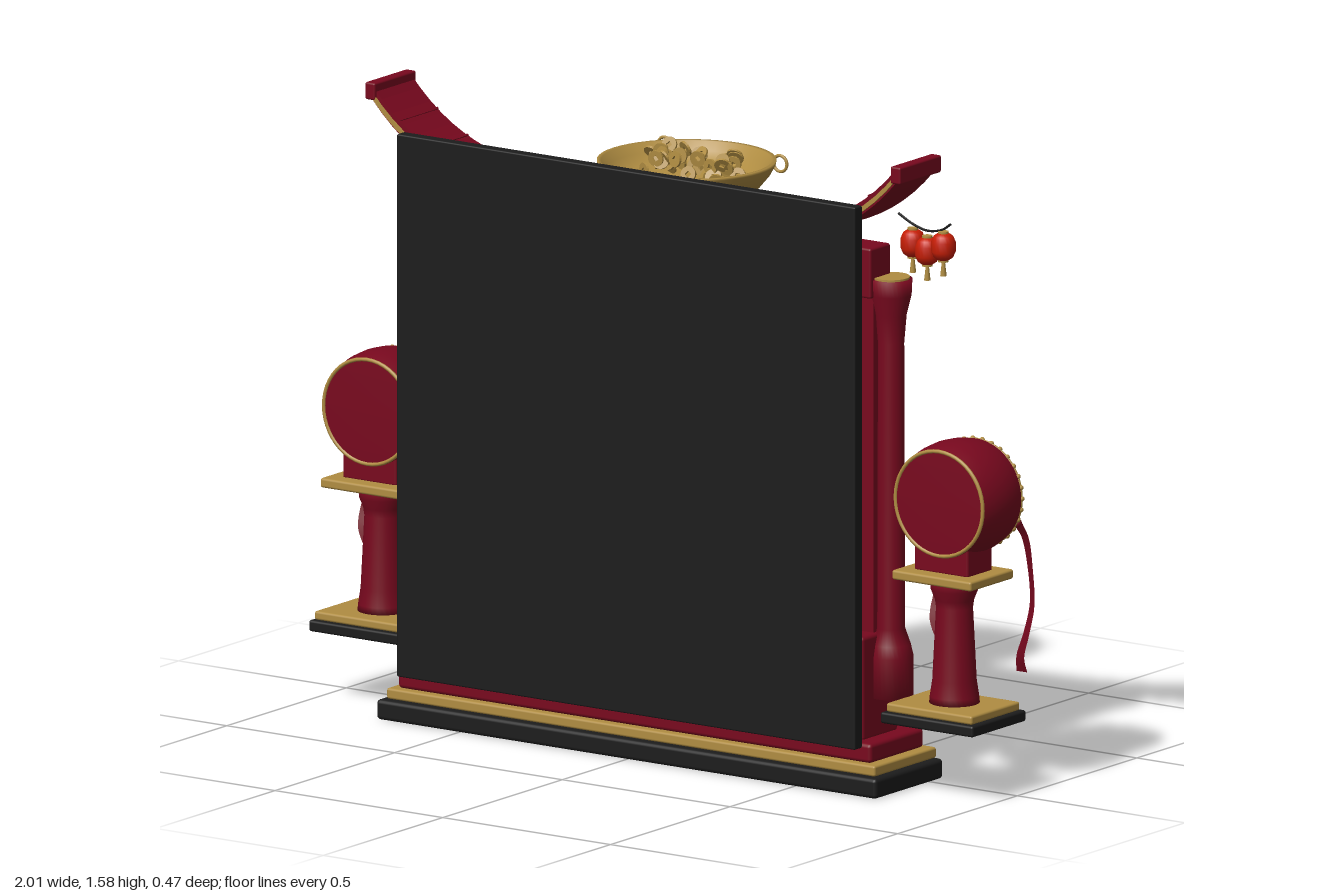
import * as THREE from 'three';
import { RoundedBoxGeometry } from 'three/addons/geometries/RoundedBoxGeometry.js';

const mat = (name, color) => Object.assign(new THREE.MeshStandardMaterial({ color }), { name });

export function createModel() {
  const red = mat('crimson lacquer', 0x78081e);
  const ribbonRed = mat('ribbon crimson', 0x78081e);
  ribbonRed.side = THREE.DoubleSide;
  const black = mat('charcoal', 0x1c1c1c);
  const gold = mat('gold', 0xb08d42);
  const darkGold = mat('dark gold', 0x806428);
  const cream = mat('drum skin', 0xc4a373);
  const green = mat('jade', 0x0f7a5c);
  const purple = mat('violet', 0x5f2088);
  const lanternRed = mat('lantern red', 0xc81e05);

  const root = new THREE.Group();
  const add = (name, geo, m, x = 0, y = 0, z = 0, parent = root) => {
    const mesh = new THREE.Mesh(geo, m);
    mesh.name = name;
    mesh.position.set(x, y, z);
    parent.add(mesh);
    return mesh;
  };
  // box given by its limits
  const box = (name, m, x0, x1, y0, y1, z0, z1, r = 0) => {
    const s = [x1 - x0, y1 - y0, z1 - z0];
    const geo = r ? new RoundedBoxGeometry(...s, 2, r) : new THREE.BoxGeometry(...s);
    return add(name, geo, m, (x0 + x1) / 2, (y0 + y1) / 2, (z0 + z1) / 2);
  };
  const rect = (P, x0, x1, y0, y1) => {
    const p = new P();
    p.moveTo(x0, y0).lineTo(x1, y0).lineTo(x1, y1).lineTo(x0, y1).closePath();
    return p;
  };
  // rectangular frame: outer limits, border width, depth range
  const frame = (name, m, x0, x1, y0, y1, w, z0, z1) => {
    const s = rect(THREE.Shape, x0, x1, y0, y1);
    s.holes.push(rect(THREE.Path, x0 + w, x1 - w, y0 + w, y1 - w));
    return add(name, new THREE.ExtrudeGeometry(s, { depth: z1 - z0, bevelEnabled: false }), m, 0, 0, z0);
  };
  const lathe = (pts, seg = 32) => new THREE.LatheGeometry(pts.map(p => new THREE.Vector2(...p)), seg);

  // stepped base and plain back board
  box('plinth', black, -0.745, 0.745, 0, 0.05, -0.05, 0.235, 0.01);
  box('plinthTrim', gold, -0.728, 0.728, 0.05, 0.077, -0.045, 0.215, 0.006);
  box('plinthStep', red, -0.705, 0.705, 0.077, 0.125, -0.025, 0.2, 0.01);
  box('backBoard', black, -0.683, 0.683, 0.115, 1.467, 0.203, 0.235, 0.004);

  // wall with screen opening and deeper lower cabinet
  const wall = rect(THREE.Shape, -0.65, 0.65, 0.12, 1.23);
  wall.holes.push(rect(THREE.Path, -0.55, 0.55, 0.42, 1.09));
  add('wall', new THREE.ExtrudeGeometry(wall, { depth: 0.075, bevelEnabled: false }), red, 0, 0, 0.035);
  box('lowerCabinet', red, -0.66, 0.66, 0.12, 0.38, 0.02, 0.17, 0.01);
  box('screen', black, -0.55, 0.55, 0.42, 1.09, 0.085, 0.1);

  // gilded screen frame
  frame('screenFrame', gold, -0.605, 0.605, 0.375, 1.195, 0.06, 0.016, 0.037);
  frame('outerRim', gold, -0.61, 0.61, 0.37, 1.2, 0.016, 0, 0.02);
  frame('outerRimShadowLine', darkGold, -0.612, 0.612, 0.368, 1.202, 0.016, 0.02, 0.037);
  frame('innerRim', gold, -0.564, 0.564, 0.408, 1.11, 0.018, 0, 0.036);

  // cloud ornaments: scalloped top, flat bottom
  const cloudShape = new THREE.Shape();
  cloudShape.moveTo(-0.055, -0.022).lineTo(0.055, -0.022);
  cloudShape.absarc(0.042, -0.006, 0.018, -0.9, 1.8);
  cloudShape.absarc(0.012, 0.012, 0.021, -0.1, 2.5);
  cloudShape.absarc(-0.02, 0.006, 0.017, 0.9, 2.9);
  cloudShape.absarc(-0.044, -0.008, 0.016, 1.2, 4.2);
  const cloudGeo = new THREE.ExtrudeGeometry(cloudShape, {
    depth: 0.014, bevelEnabled: true, bevelSize: 0.003, bevelThickness: 0.003, bevelSegments: 1, curveSegments: 6 });
  const cloud = (x, y, turn = 0, z = -0.017) => { add('cloud', cloudGeo, gold, x, y, z).rotation.z = turn; };
  for (let i = 0; i < 6; i++) {
    const x = -0.5 + i * 0.2;
    cloud(x, 1.172);
    cloud(x, 0.405);
  }
  for (const s of [-1, 1]) {
    for (const y of [0.53, 0.69, 0.85, 1.02]) cloud(s * 0.592, y, s * Math.PI / 2);
    cloud(s * 0.53, 0.285, 0, 0.002);
    for (const [x, y] of [[0.6, 0.15], [0.56, 0.17], [0.61, 0.335], [0.46, 0.145]])
      box('lozenge', gold, s * x - 0.03, s * x + 0.03, y - 0.008, y + 0.008, 0.008, 0.022, 0.005);
  }

  // lower inset panel
  box('lowerPanel', black, -0.4, 0.4, 0.165, 0.305, 0.012, 0.021);
  frame('lowerPanelFrame', gold, -0.415, 0.415, 0.15, 0.32, 0.02, -0.002, 0.021);

  // lintel with four coloured panels
  box('lintel', red, -0.655, 0.655, 1.215, 1.34, 0.045, 0.13, 0.006);
  [red, purple, purple, green].forEach((m, i) => {
    const x = -0.48 + i * 0.32;
    box('lintelPanel', m, x - 0.14, x + 0.14, 1.228, 1.317, 0.037, 0.046);
    frame('lintelPanelFrame', gold, x - 0.152, x + 0.152, 1.218, 1.327, 0.013, 0.028, 0.046);
  });

  // upswept roof
  const roofY = x => 1.341 + 0.198 * Math.pow(Math.abs(x) / 0.785, 4.6);
  const band = (lo, hi) => {
    const s = new THREE.Shape(), n = 48, pts = [];
    for (let i = 0; i <= n; i++) pts.push(-0.785 + 1.57 * i / n);
    pts.forEach((x, i) => i ? s.lineTo(x, roofY(x) + lo) : s.moveTo(x, roofY(x) + lo));
    pts.reverse().forEach(x => s.lineTo(x, roofY(x) + hi));
    return s;
  };
  const roofPart = (name, m, lo, hi, z0, z1) =>
    add(name, new THREE.ExtrudeGeometry(band(lo, hi), { depth: z1 - z0, bevelEnabled: false }), m, 0, 0, z0);
  roofPart('roof', red, 0, 0.034, 0.04, 0.2);
  roofPart('roofTrim', gold, 0.006, 0.02, 0.034, 0.205);
  for (const s of [-1, 1]) {
    box('roofTip', red, s * 0.783 - 0.015, s * 0.783 + 0.015, 1.533, 1.576, 0.033, 0.207, 0.005);
    for (const x of [0.06, 0.23, 0.31, 0.41, 0.51, 0.61, 0.7]) {
      const rib = add('roofRib', new THREE.BoxGeometry(0.006, 0.006, 0.16), red, s * x, roofY(x) + 0.034, 0.12);
      rib.rotation.z = s * Math.atan((roofY(x + 0.01) - roofY(x - 0.01)) / 0.02);
    }
  }

  // treasure bowl with coins
  const bowl = new THREE.Group();
  bowl.name = 'treasureBowl';
  bowl.position.set(0, 1.335, -0.02);
  root.add(bowl);
  add('bowl', lathe([[0, 0], [0.1, 0], [0.104, 0.006], [0.092, 0.014], [0.14, 0.027], [0.18, 0.05], [0.205, 0.08],
    [0.218, 0.106], [0.218, 0.113], [0.208, 0.112], [0.196, 0.09], [0.17, 0.066], [0.13, 0.054], [0, 0.05]], 48),
    gold, 0, 0, 0, bowl);
  for (const s of [-1, 1])
    add('bowlRing', new THREE.TorusGeometry(0.02, 0.004, 8, 20), gold, s * 0.172, 0.097, -0.15, bowl);
  const coin = new THREE.Shape().absarc(0, 0, 0.02, 0, Math.PI * 2);
  coin.holes.push(rect(THREE.Path, -0.006, 0.006, -0.006, 0.006));
  const coinGeo = new THREE.ExtrudeGeometry(coin, { depth: 0.006, bevelEnabled: false, curveSegments: 10 });
  let seed = 7;
  const rnd = () => (seed = (seed * 16807) % 2147483647) / 2147483647;
  for (let i = 0; i < 38; i++) {
    const a = rnd() * Math.PI * 2, r = Math.sqrt(rnd());
    const c = add('coin', coinGeo, gold,
      0.01 + r * 0.15 * Math.cos(a), 0.075 + 0.058 * rnd(), 0.07 * r * Math.sin(a), bowl);
    c.rotation.set((rnd() - 0.5) * 1.4, (rnd() - 0.5) * 0.9, rnd() * 6);
  }

  // pieces shared by both ends
  const pillarGeo = lathe([[0, 0], [0.055, 0], [0.055, 0.1], [0.048, 0.13], [0.034, 0.17], [0.032, 0.88],
    [0.038, 0.95], [0.05, 1.0], [0.052, 1.04], [0, 1.04]]);
  const lanternGeo = lathe([[0, -0.033], [0.014, -0.033], [0.024, -0.026], [0.03, -0.012], [0.03, 0.012],
    [0.024, 0.026], [0.014, 0.033], [0, 0.033]], 20);
  const drumGeo = lathe([[0, -0.08], [0.13, -0.08], [0.134, -0.076], [0.142, -0.04], [0.145, 0], [0.142, 0.04],
    [0.134, 0.076], [0.13, 0.08], [0, 0.08]], 48).rotateX(-Math.PI / 2);
  const columnGeo = lathe([[0, 0], [0.062, 0], [0.06, 0.02], [0.054, 0.06], [0.045, 0.24], [0.048, 0.26],
    [0.058, 0.285], [0.06, 0.31], [0, 0.31]]);
  // hanging ribbon: a twisting strip swept along a wavy path
  const ribbonGeo = side => {
    const path = new THREE.CatmullRomCurve3([[0.096, 0.66, -0.072], [0.105, 0.62, -0.093], [0.112, 0.55, -0.103],
      [0.133, 0.46, -0.083], [0.132, 0.39, -0.06], [0.112, 0.33, -0.063], [0.108, 0.29, -0.075]]
      .map(([x, y, z]) => new THREE.Vector3(side * x, y, z)));
    const g = new THREE.PlaneGeometry(1, 1, 1, 30), p = g.attributes.position;
    for (let i = 0; i < p.count; i++) {
      const t = 0.5 - p.getY(i), v = path.getPoint(t), w = p.getX(i) * 0.032;
      p.setXYZ(i, v.x + w, v.y, v.z + side * w * 0.8 * Math.sin(Math.PI * t));
    }
    g.computeVertexNormals();
    return g;
  };

  for (const s of [-1, 1]) {
    // pillar
    add('pillar', pillarGeo, red, s * 0.675, 0.22, 0.072);
    add('pillarCap', new THREE.CylinderGeometry(0.046, 0.046, 0.008, 32), gold, s * 0.675, 1.261, 0.072);

    // lantern string
    const cord = new THREE.CatmullRomCurve3([[0.66, 1.41], [0.7, 1.39], [0.745, 1.378], [0.79, 1.386], [0.818, 1.405]]
      .map(([x, y]) => new THREE.Vector3(s * x, y, 0.02)));
    add('lanternCord', new THREE.TubeGeometry(cord, 20, 0.003, 6), black);
    for (const [x, y] of [[0.703, 1.342], [0.746, 1.328], [0.794, 1.345]]) {
      add('lantern', lanternGeo, lanternRed, s * x, y, 0.02);
      for (const d of [-0.035, 0.035])
        add('lanternCap', new THREE.CylinderGeometry(0.013, 0.013, 0.006, 16), gold, s * x, y + d, 0.02);
      add('lanternTassel', new THREE.CylinderGeometry(0.004, 0.008, 0.035, 8), gold, s * x, y - 0.056, 0.02);
    }

    // drum stand
    const X = s * 0.852;
    const slab = (name, m, hw, y0, y1, z0, z1) => box(name, m, X - hw, X + hw, y0, y1, z0, z1, 0.006);
    slab('standFoot', black, 0.138, 0.175, 0.203, -0.052, 0.173);
    slab('standTrim', gold, 0.128, 0.203, 0.225, -0.04, 0.163);
    add('standColumn', columnGeo, red, X, 0.222, 0.055);
    slab('standTable', gold, 0.118, 0.532, 0.556, -0.028, 0.153);
    slab('drumCradle', red, 0.08, 0.553, 0.625, 0.008, 0.112);

    // drum facing the rear, studded around the skin
    const drum = new THREE.Group();
    drum.name = 'drum';
    drum.position.set(X, 0.73, 0.04);
    root.add(drum);
    add('drumBody', drumGeo, red, 0, 0, 0, drum);
    add('drumSkin', new THREE.CylinderGeometry(0.114, 0.114, 0.008, 48).rotateX(Math.PI / 2), cream, 0, 0, -0.081, drum);
    add('skinRing', new THREE.TorusGeometry(0.115, 0.004, 8, 48), black, 0, 0, -0.082, drum);
    for (const z of [-0.08, 0.079])
      add('drumRim', new THREE.TorusGeometry(0.13, 0.005, 8, 48), gold, 0, 0, z, drum);
    for (let i = 0; i < 30; i++) {
      const a = i / 30 * Math.PI * 2;
      add('drumStud', new THREE.SphereGeometry(0.007, 8, 6), gold, 0.132 * Math.cos(a), 0.132 * Math.sin(a), -0.081, drum);
    }
    for (const side of [-1, 1]) {
      add('ribbon', ribbonGeo(side), ribbonRed, X, 0, 0);
      add('ribbonKnot', new THREE.SphereGeometry(0.013, 12, 8), red, X + side * 0.096, 0.66, -0.07);
    }
  }
  return root;
}
